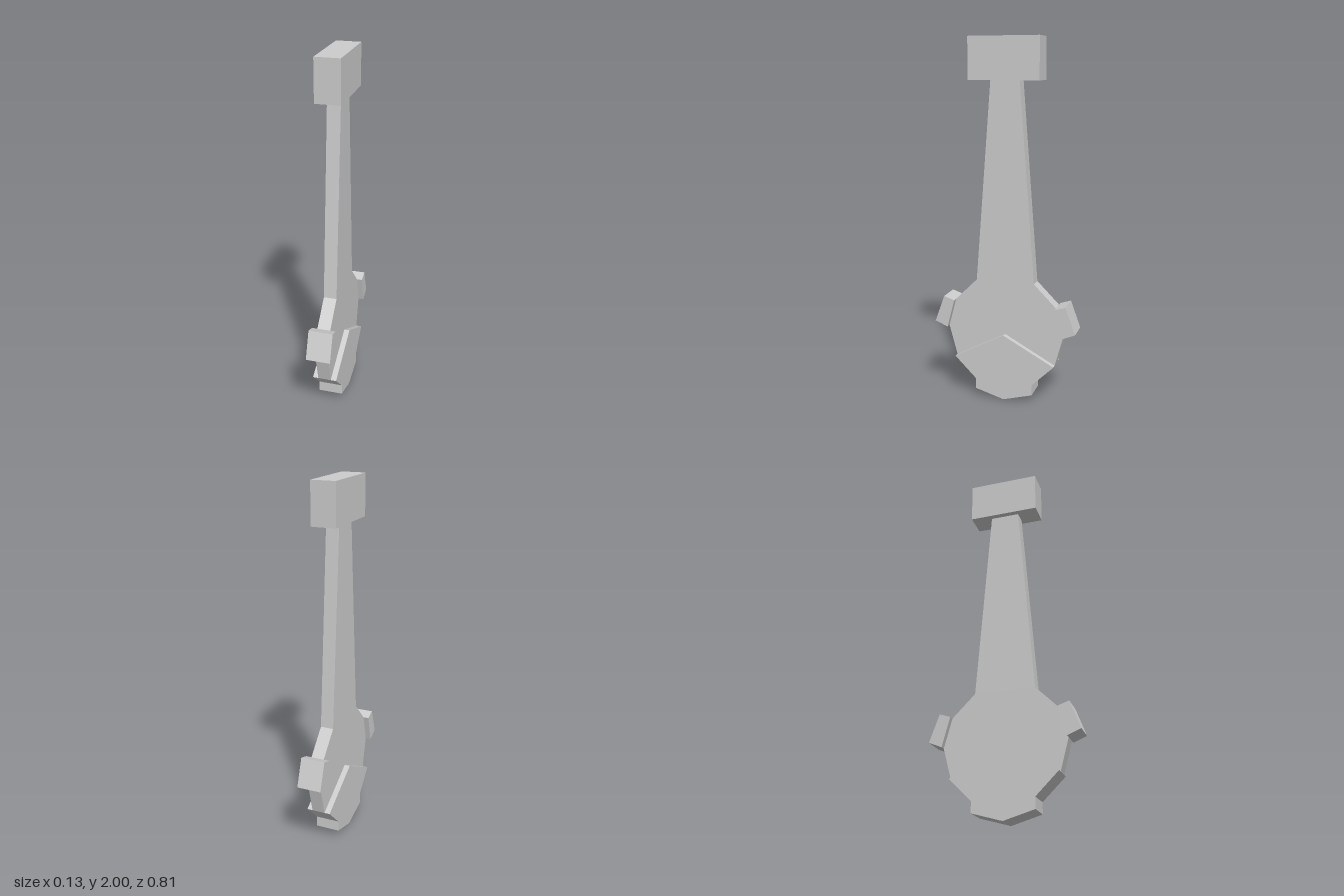
import * as THREE from 'three';

const material = new THREE.MeshStandardMaterial({ color: 0xcccccc, flatShading: true });

// Flat plate from a side outline of [z, y] points, centred on x = 0
function plate(name, points, thickness) {
  const shape = new THREE.Shape(points.map(([z, y]) => new THREE.Vector2(z, y)));
  const geometry = new THREE.ExtrudeGeometry(shape, { depth: thickness, bevelEnabled: false });
  geometry.translate(0, 0, -thickness / 2);
  geometry.rotateY(-Math.PI / 2);
  const mesh = new THREE.Mesh(geometry, material);
  mesh.name = name;
  return mesh;
}

// Mirror one half of an outline (listed top to bottom) across z = 0
const mirrored = (half) => [
  ...half,
  ...half.filter(([z]) => z !== 0).reverse().map(([z, y]) => [-z, y]),
];

export function createModel() {
  const group = new THREE.Group();
  group.name = 'pendulum';
  const thin = 0.072;
  const wide = 0.134;

  // Tapered arm flowing into the rounded disc
  group.add(plate('armAndDisc', mirrored([
    [0.08, 1.78], [0.165, 0.685], [0.29, 0.56], [0.333, 0.4], [0.287, 0.23],
    [0.165, 0.11],
  ]), thin));

  // Thick weight at the bottom, with a peaked top
  group.add(plate('lowerWeight', mirrored([
    [0, 0.383], [0.287, 0.23], [0.165, 0.11], [0.165, 0.05], [0, 0.003],
  ]), wide));

  // Side lugs at the front and back of the disc
  const lug = [[0.29, 0.56], [0.35, 0.58], [0.405, 0.43], [0.333, 0.4]];
  for (const side of [1, -1]) {
    group.add(plate(side > 0 ? 'frontLug' : 'backLug', lug.map(([z, y]) => [side * z, y]), wide));
  }

  // Block at the top of the arm
  const head = new THREE.Mesh(new THREE.BoxGeometry(wide, 0.225, 0.39), material);
  head.name = 'headBlock';
  head.position.y = 1.8875;
  group.add(head);

  return group;
}
